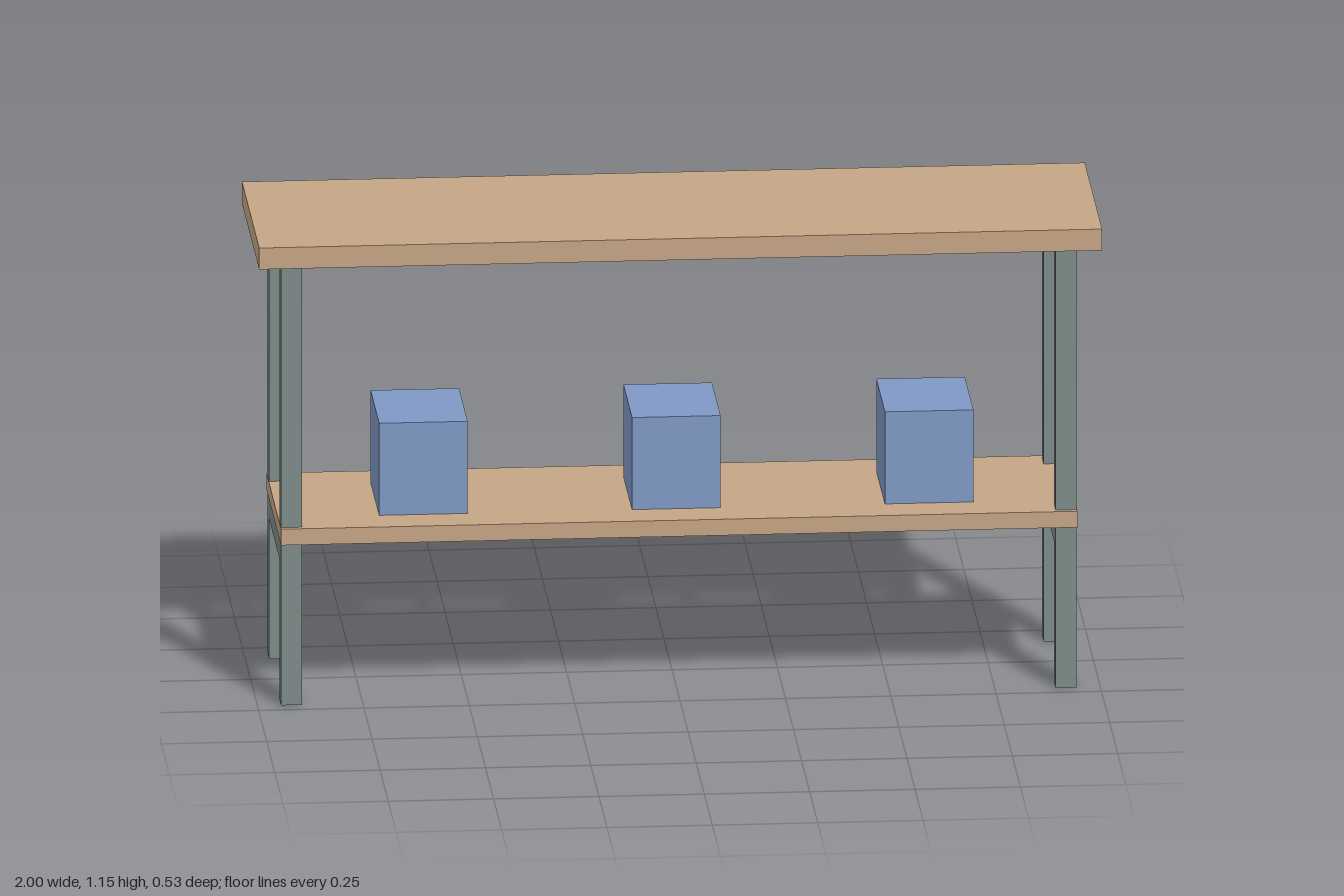
import * as THREE from 'three';

const material = (name, color) => {
  const m = new THREE.MeshStandardMaterial({ color });
  m.name = name;
  return m;
};

export function createModel() {
  const wood = material('wood', 0xc4a484);
  const metal = material('greyMetal', 0x7d8b89);
  const blue = material('blueBox', 0x7f98c4);
  const model = new THREE.Group();
  model.name = 'workbench';

  // Box with its underside at y
  const addBox = (name, mat, [w, h, d], [x, y, z]) => {
    const mesh = new THREE.Mesh(new THREE.BoxGeometry(w, h, d), mat);
    mesh.name = name;
    mesh.position.set(x, y + h / 2, z);
    model.add(mesh);
  };

  // Top board and lower shelf
  addBox('tabletop', wood, [2, 0.053, 0.534], [0, 1.097, 0]);
  addBox('shelf', wood, [1.89, 0.04, 0.452], [0, 0.4, 0]);

  // Four legs, with a cross rail under the shelf at each end
  for (const [side, sx] of [['left', 1], ['right', -1]]) {
    for (const [end, sz] of [['Front', 1], ['Back', -1]]) {
      addBox(`${side}${end}Leg`, metal, [0.05, 1.097, 0.055], [sx * 0.919, 0, sz * 0.186]);
    }
    addBox(`${side}CrossRail`, metal, [0.05, 0.052, 0.317], [sx * 0.919, 0.348, 0]);
  }

  // Long rail between the back legs
  addBox('backRail', metal, [1.788, 0.037, 0.037], [0, 1.024, -0.186]);

  // Storage boxes on the shelf
  for (const x of [-0.6, 0, 0.6]) {
    addBox('storageBox', blue, [0.21, 0.228, 0.266], [x, 0.44, 0]);
  }

  return model;
}
